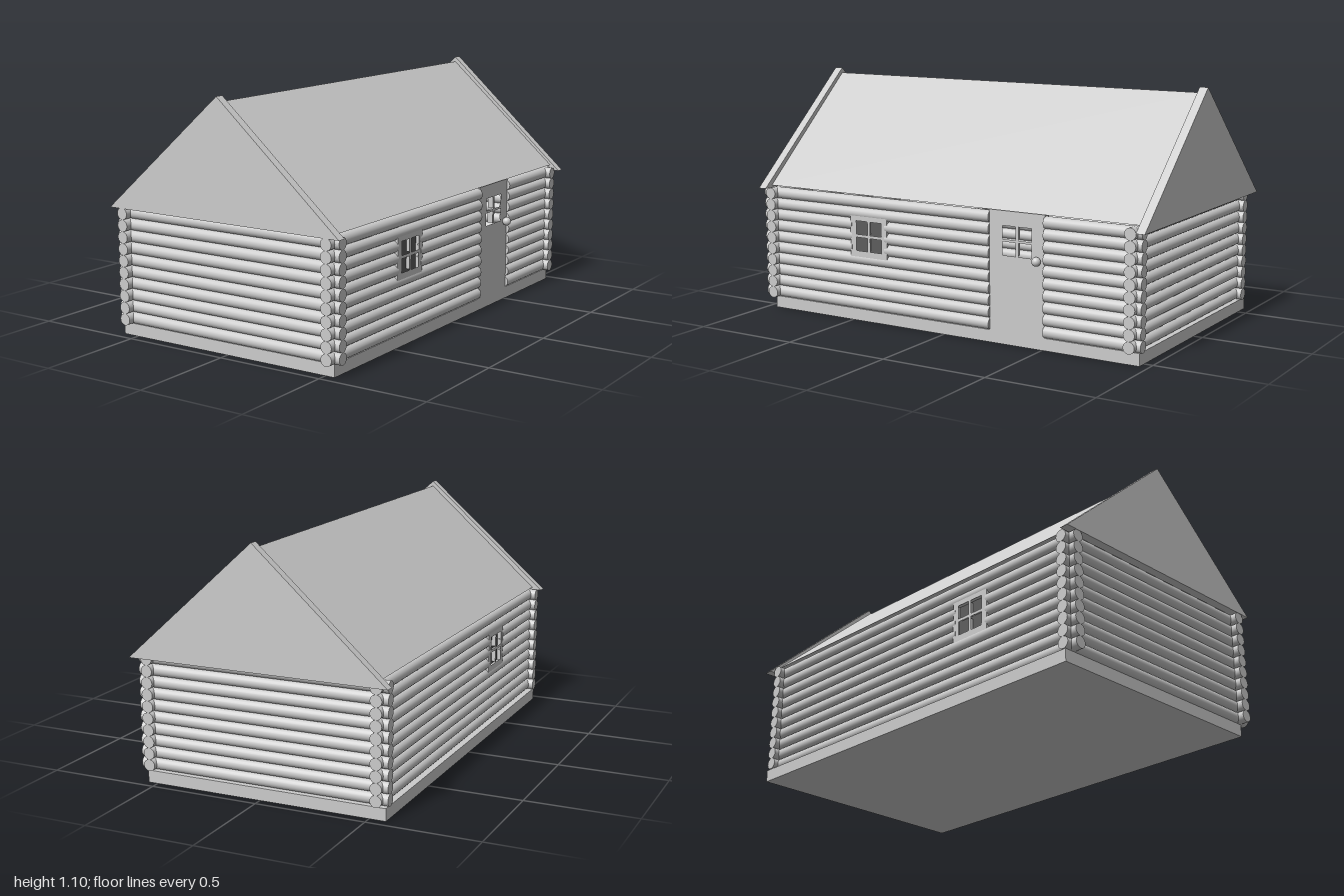
import * as THREE from 'three';

const grey = new THREE.MeshStandardMaterial({ color: 0xcccccc });
const glass = new THREE.MeshStandardMaterial({ color: 0x5c5c5c });

const ROWS = 10, PITCH = 0.0525, RADIUS = 0.0265, FIRST_Y = 0.081;
const SIDE_X = 0.533, FRONT_Z = 0.946, BACK_Z = -0.926;
const DOOR = [-0.51, -0.24], WINDOW = [0.31, 0.49];

function add(parent, name, geometry, x = 0, y = 0, z = 0, material = grey) {
  const mesh = new THREE.Mesh(geometry, material);
  mesh.name = name;
  mesh.position.set(x, y, z);
  parent.add(mesh);
  return mesh;
}

function box(parent, name, [x0, x1], [y0, y1], [z0, z1], material) {
  return add(parent, name, new THREE.BoxGeometry(x1 - x0, y1 - y0, z1 - z0),
    (x0 + x1) / 2, (y0 + y1) / 2, (z0 + z1) / 2, material);
}

// A log between two ends along x or z
function log(parent, name, axis, from, to, y, offset) {
  const g = new THREE.CylinderGeometry(RADIUS, RADIUS, to - from, 24);
  const mid = (from + to) / 2;
  if (axis === 'x') add(parent, name, g.rotateZ(Math.PI / 2), mid, y, offset);
  else add(parent, name, g.rotateX(Math.PI / 2), offset, y, mid);
}

// Triangular prism running along z
function prism(parent, name, half, base, apex, z0, z1) {
  const s = new THREE.Shape([
    new THREE.Vector2(-half, base), new THREE.Vector2(half, base), new THREE.Vector2(0, apex)]);
  add(parent, name, new THREE.ExtrudeGeometry(s, { depth: z1 - z0, bevelEnabled: false }), 0, 0, z0);
}

// Upright panel facing +x with rectangular openings, given as [z0, z1, y0, y1]
function panel(parent, name, outer, holes, x0, x1) {
  const corners = ([z0, z1, y0, y1]) => [[-z0, y0], [-z1, y0], [-z1, y1], [-z0, y1]]
    .map(([a, b]) => new THREE.Vector2(a, b));
  const s = new THREE.Shape(corners(outer));
  s.holes = holes.map(h => new THREE.Path(corners(h)));
  const g = new THREE.ExtrudeGeometry(s, { depth: x1 - x0, bevelEnabled: false });
  add(parent, name, g.rotateY(Math.PI / 2), x0, 0, 0);
}

// Two by two openings
const grid = (zs, ys) => zs.flatMap(z => ys.map(y => [...z, ...y]));

function makeWindow() {
  const w = new THREE.Group();
  panel(w, 'windowFrame', [0.296, 0.498, 0.302, 0.505],
    grid([[0.326, 0.388], [0.403, 0.465]], [[0.33, 0.392], [0.406, 0.468]]), 0.515, 0.557);
  box(w, 'windowPane', [0.522, 0.532], [0.31, 0.495], [0.305, 0.49], glass);
  return w;
}

export function createModel() {
  const cabin = new THREE.Group();
  cabin.name = 'logCabin';

  box(cabin, 'foundation', [-0.575, 0.545], [0, 0.055], [-0.96, 0.955]);

  // Log walls, interrupted at the door and windows
  const walls = new THREE.Group();
  walls.name = 'logWalls';
  cabin.add(walls);
  for (let i = 0; i < ROWS; i++) {
    const y = FIRST_Y + i * PITCH;
    log(walls, 'frontLog', 'x', -0.58, 0.58, y, FRONT_Z);
    log(walls, 'backLog', 'x', -0.58, 0.58, y, BACK_Z);
    const atWindow = i >= 5 && i <= 7;
    for (const side of [1, -1]) {
      const gaps = [];
      if (side > 0) gaps.push(DOOR);
      if (atWindow) gaps.push(WINDOW);
      let start = -0.97;
      for (const [a, b] of gaps) {
        log(walls, 'sideLog', 'z', start, a, y, side * SIDE_X);
        start = b;
      }
      log(walls, 'sideLog', 'z', start, 0.998, y, side * SIDE_X);
    }
  }

  // Windows on both long walls
  const leftWindow = makeWindow();
  leftWindow.name = 'leftWindow';
  const rightWindow = makeWindow();
  rightWindow.name = 'rightWindow';
  rightWindow.rotation.y = Math.PI;
  rightWindow.position.z = 0.794;
  cabin.add(leftWindow, rightWindow);

  // Door with four open panes and a round knob
  const door = new THREE.Group();
  door.name = 'door';
  cabin.add(door);
  panel(door, 'doorPanel', [-0.512, -0.238, 0.055, 0.588],
    grid([[-0.37, -0.305], [-0.448, -0.385]], [[0.392, 0.452], [0.463, 0.522]]), 0.51, 0.545);
  add(door, 'doorKnob', new THREE.SphereGeometry(0.02, 24, 16), 0.562, 0.386, -0.48);

  // Roof between two taller gables
  prism(cabin, 'roof', 0.552, 0.588, 1.076, -0.96, 0.96);
  prism(cabin, 'frontGable', 0.598, 0.577, 1.1, 0.96, 1);
  prism(cabin, 'backGable', 0.598, 0.562, 1.1, -1, -0.96);

  return cabin;
}
